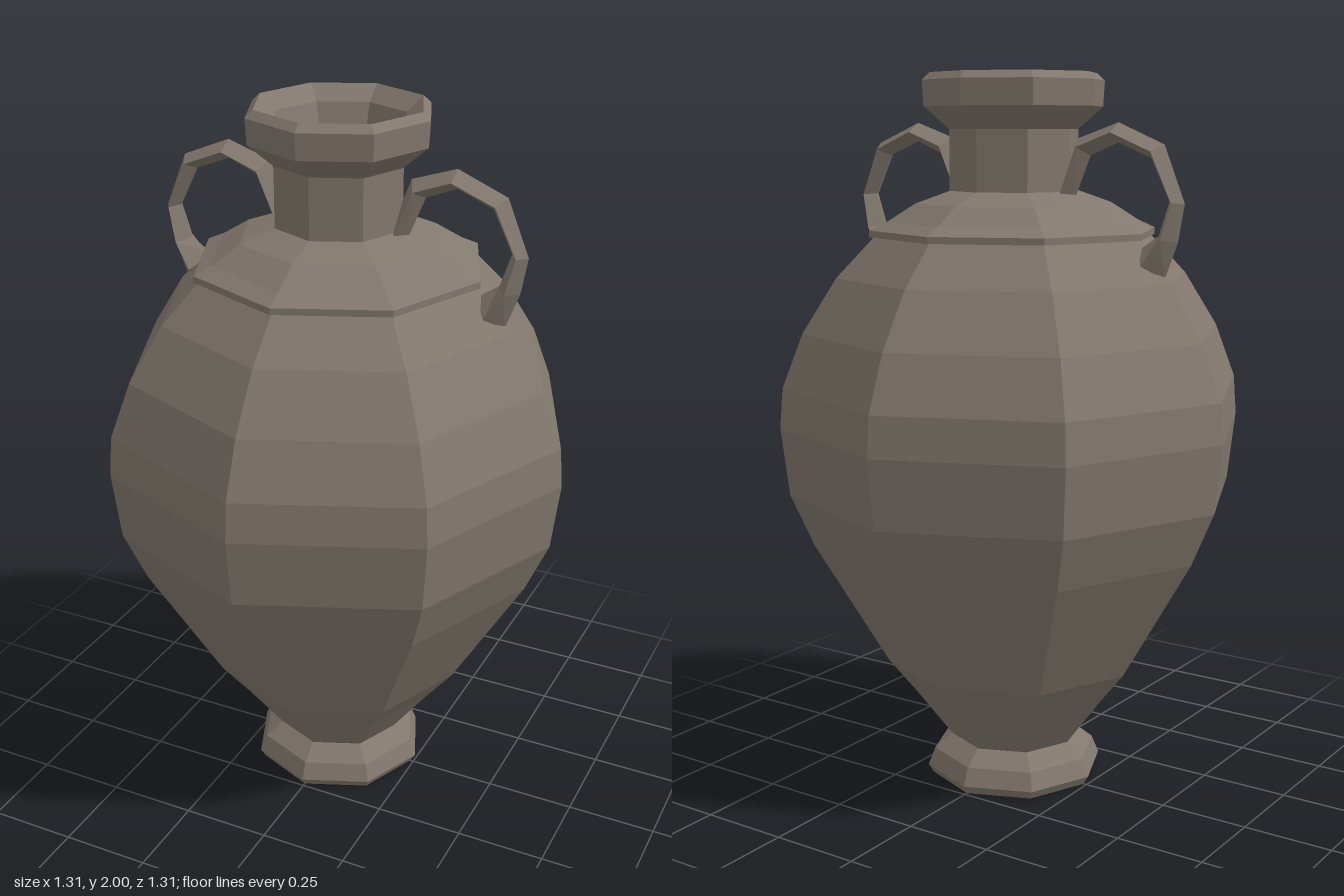
import * as THREE from 'three';

const stone = new THREE.MeshStandardMaterial({ color: 0x82786e, flatShading: true });
stone.name = 'greyBrownClay';

// Eight-sided turned part from [radius, height] pairs, outer side listed upwards
function turned(name, profile) {
  const points = profile.map(([r, y]) => new THREE.Vector2(r, y));
  const geometry = new THREE.LatheGeometry(points, 8).toNonIndexed();
  geometry.computeVertexNormals();
  const mesh = new THREE.Mesh(geometry, stone);
  mesh.name = name;
  return mesh;
}

// Handle with a diamond section; each station is
// [outer x, outer y, inner x, inner y, half width]
function handleGeometry() {
  const stations = [
    [0.105, 1.68, 0.155, 1.63, 0.035],
    [0.155, 1.70, 0.195, 1.66, 0.04],
    [0.205, 1.825, 0.245, 1.78, 0.045],
    [0.33, 1.867, 0.33, 1.815, 0.045],
    [0.468, 1.81, 0.43, 1.775, 0.042],
    [0.53, 1.66, 0.485, 1.665, 0.035],
    [0.512, 1.56, 0.455, 1.575, 0.045],
    [0.475, 1.462, 0.395, 1.535, 0.06],
  ];
  const rings = stations.map(([ox, oy, ix, iy, w]) => {
    const mx = (ox + ix) / 2, my = (oy + iy) / 2;
    return [[ox, oy, 0], [mx, my, w], [ix, iy, 0], [mx, my, -w]];
  });
  const positions = [];
  const quad = (a, b, c, d) => positions.push(...a, ...b, ...d, ...b, ...c, ...d);
  for (let i = 0; i < rings.length - 1; i++) {
    for (let k = 0; k < 4; k++) {
      const n = (k + 1) % 4;
      quad(rings[i][k], rings[i][n], rings[i + 1][n], rings[i + 1][k]);
    }
  }
  // End caps
  const first = rings[0], last = rings[rings.length - 1];
  quad(first[3], first[2], first[1], first[0]);
  quad(last[0], last[1], last[2], last[3]);
  const geometry = new THREE.BufferGeometry();
  geometry.setAttribute('position', new THREE.Float32BufferAttribute(positions, 3));
  geometry.computeVertexNormals();
  return geometry;
}

export function createModel() {
  const urn = new THREE.Group();
  urn.name = 'urn';

  urn.add(turned('foot', [
    [0, 0], [0.24, 0], [0.255, 0.025], [0.235, 0.075], [0.185, 0.115], [0, 0.115],
  ]));

  urn.add(turned('body', [
    [0.18, 0.11], [0.285, 0.25], [0.365, 0.35], [0.57, 0.7], [0.635, 0.85],
    [0.657, 1.04], [0.648, 1.15], [0.59, 1.3], [0.495, 1.45], [0.385, 1.565],
  ]));

  // Collar overhangs the body slightly
  urn.add(turned('shoulderCollar', [
    [0.37, 1.56], [0.403, 1.56], [0.403, 1.578], [0.355, 1.6], [0.275, 1.65], [0.175, 1.685],
  ]));

  // Neck, flared mouth and hollow inside
  urn.add(turned('neckAndMouth', [
    [0.18, 1.67], [0.18, 1.85], [0.25, 1.91], [0.254, 1.98], [0.232, 2],
    [0.185, 1.96], [0.15, 1.85], [0.15, 1.6], [0, 1.6],
  ]));

  // Two handles, mirrored by a half turn
  const geometry = handleGeometry();
  ['leftHandle', 'rightHandle'].forEach((name, i) => {
    const handle = new THREE.Mesh(geometry, stone);
    handle.name = name;
    handle.rotation.y = i * Math.PI;
    urn.add(handle);
  });

  return urn;
}
